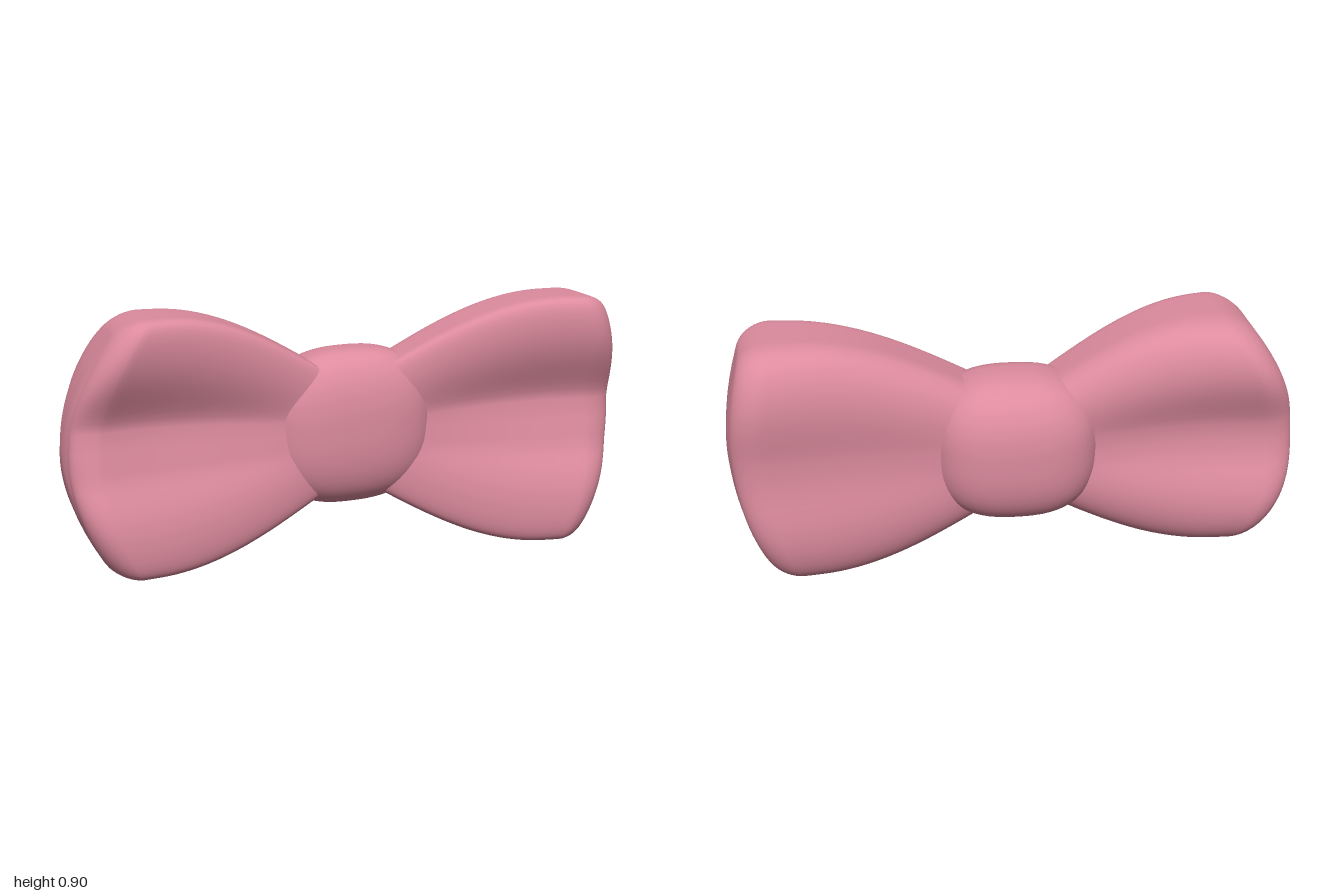
import * as THREE from 'three';
import { mergeVertices } from 'three/addons/utils/BufferGeometryUtils.js';

const bump = (v, centre, width) => Math.exp(-(((v - centre) / width) ** 2));
const spow = (v, p) => Math.sign(v) * Math.abs(v) ** p;
const lerp = THREE.MathUtils.lerp;

// Skin closed cross-section rings; the last ring collapses to a point
function loft(rings, flip) {
  const n = rings[0].length, pos = rings.flat(2), index = [];
  for (let i = 0; i < rings.length - 1; i++) {
    for (let j = 0; j < n; j++) {
      const k = (j + 1) % n;
      const a = i * n + j, b = i * n + k, c = (i + 1) * n + k, d = (i + 1) * n + j;
      if (flip) index.push(a, b, d, b, c, d);
      else index.push(a, d, b, b, d, c);
    }
  }
  const g = new THREE.BufferGeometry();
  g.setAttribute('position', new THREE.Float32BufferAttribute(pos, 3));
  g.setIndex(index);
  g.computeVertexNormals();
  return g;
}

// One flared loop of the bow with pleats on front and back
function wingGeometry(side, o) {
  const SEG = 144, stations = [];
  // [distance along, height scale, depth scale]
  for (let i = 0; i <= 30; i++) stations.push([i / 30 * 0.87, 1, 1]);
  for (let i = 1; i <= 10; i++) {
    const a = i / 10 * Math.PI / 2, c = 1 - Math.cos(a);
    stations.push([0.87 + 0.115 * Math.sin(a), 1 - 0.12 * c, 1 - 0.42 * c]);
  }
  for (let i = 1; i <= 8; i++) {
    const k = 1 - i / 8;
    stations.push([0.985 + 0.015 * (1 - k * k), 0.88 * k, 0.58 * k]);
  }
  const rings = stations.map(([u, sy, sz]) => {
    const hy = 0.22 + (o.height - 0.22) * Math.sin(Math.PI / 2 * Math.min(1, u / 0.8));
    const grow = Math.min(1, u / 0.87);
    const pleat = Math.sin(Math.PI / 2 * Math.min(1, u / 0.8));
    const ring = [];
    for (let j = 0; j < SEG; j++) {
      const t = j / SEG * Math.PI * 2, c = Math.cos(t), s = Math.sin(t);
      const v = spow(s, 0.6);
      const front = lerp(0.112, 0.236, grow)
        - pleat * (0.113 * bump(v, 0.07, 0.44) - 0.022 * bump(v, -0.04, 0.13));
      const back = lerp(0.13, o.back, grow) - pleat * o.backPleat * bump(v, 0.05, 0.42);
      const z = c > 0 ? front * c ** 0.17 : -back * (-c) ** 0.7;
      const vy = v * sy;
      const edge = 1 - o.bow * vy * vy + o.skew * vy;
      ring.push([side * lerp(0.1, edge, u), o.centre + hy * vy, z * sz]);
    }
    return ring;
  });
  return loft(rings, side < 0);
}

// Pillowy knot: a squared-off ellipsoid, deeper at the back
function knotGeometry() {
  let g = new THREE.SphereGeometry(1, 64, 48);
  g.deleteAttribute('uv');
  g.deleteAttribute('normal');
  g = mergeVertices(g, 1e-4);
  const p = g.attributes.position, v = new THREE.Vector3();
  for (let i = 0; i < p.count; i++) {
    v.fromBufferAttribute(p, i);
    const e = 2.6;
    const len = (Math.abs(v.x) ** e + Math.abs(v.y) ** e + Math.abs(v.z) ** e) ** (1 / e);
    v.divideScalar(len);
    const x = v.x * 0.3 + 0.01;
    p.setXYZ(i, x, 0.465 + v.y * 0.277 + 0.03 * x, v.z * (v.z > 0 ? 0.163 : 0.226));
  }
  g.computeVertexNormals();
  return g;
}

export function createModel() {
  const pink = new THREE.MeshStandardMaterial({ color: 0xdc8b9d });
  pink.name = 'dustyPink';
  const bow = new THREE.Group();
  bow.name = 'bowTie';
  const add = (name, geometry) => {
    const mesh = new THREE.Mesh(geometry, pink);
    mesh.name = name;
    bow.add(mesh);
  };
  add('leftWing', wingGeometry(1, {
    height: 0.452, centre: 0.454, back: 0.193, backPleat: 0.038, bow: 0.1, skew: 0.035,
  }));
  add('rightWing', wingGeometry(-1, {
    height: 0.442, centre: 0.464, back: 0.234, backPleat: 0.085, bow: 0.17, skew: -0.03,
  }));
  add('knot', knotGeometry());
  return bow;
}
